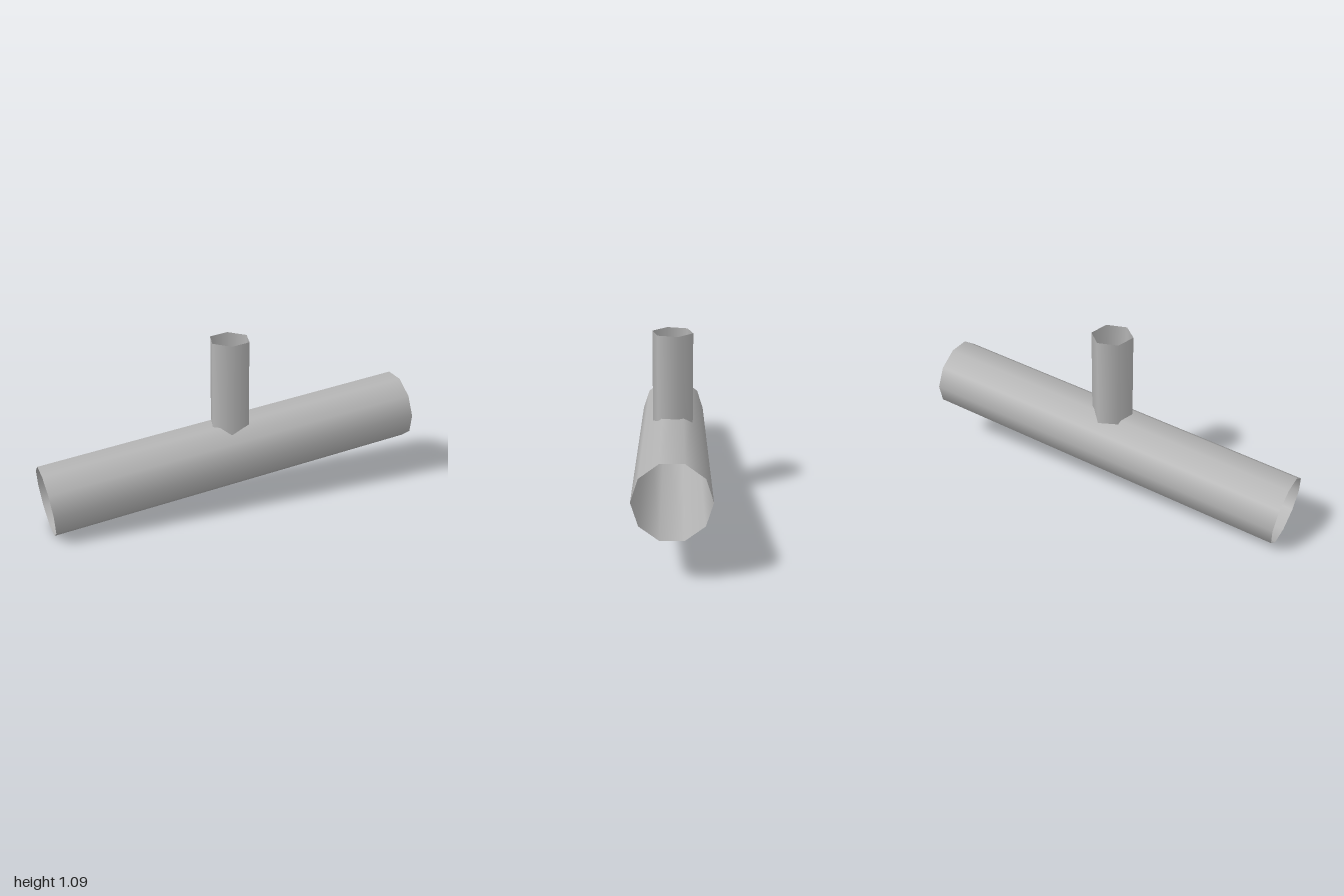
import * as THREE from 'three';

// Open-ended tube between two points; one cross-section corner points along `side`
function tube(name, from, to, side, radius, sides, material) {
  const axis = to.clone().sub(from);
  const geometry = new THREE.CylinderGeometry(radius, radius, axis.length(), sides, 1, true);
  axis.normalize();
  const across = new THREE.Vector3().crossVectors(axis, side);
  geometry.applyMatrix4(new THREE.Matrix4().makeBasis(across, axis, side));
  const mesh = new THREE.Mesh(geometry, material);
  mesh.position.copy(from).add(to).multiplyScalar(0.5);
  mesh.name = name;
  return mesh;
}

export function createModel() {
  const group = new THREE.Group();
  group.name = 'branchedPipe';
  const grey = new THREE.MeshStandardMaterial({ color: 0xb4b4b4, side: THREE.DoubleSide });
  grey.name = 'grey';

  // Long sloping ten-sided pipe along the diagonal
  const low = new THREE.Vector3(-0.845, 0.208, 0.845);
  const high = new THREE.Vector3(0.845, 0.472, -0.845);
  const diagonal = new THREE.Vector3(1, 0, 1).normalize();
  group.add(tube('mainPipe', low, high, diagonal, 0.22, 10, grey));

  // Upright six-sided pipe rising from the middle of the main pipe's axis
  const joint = low.clone().lerp(high, 0.5);
  const top = new THREE.Vector3(0, 1.09, 0);
  group.add(tube('uprightPipe', joint, top, new THREE.Vector3(1, 0, 0), 0.13, 6, grey));

  return group;
}
